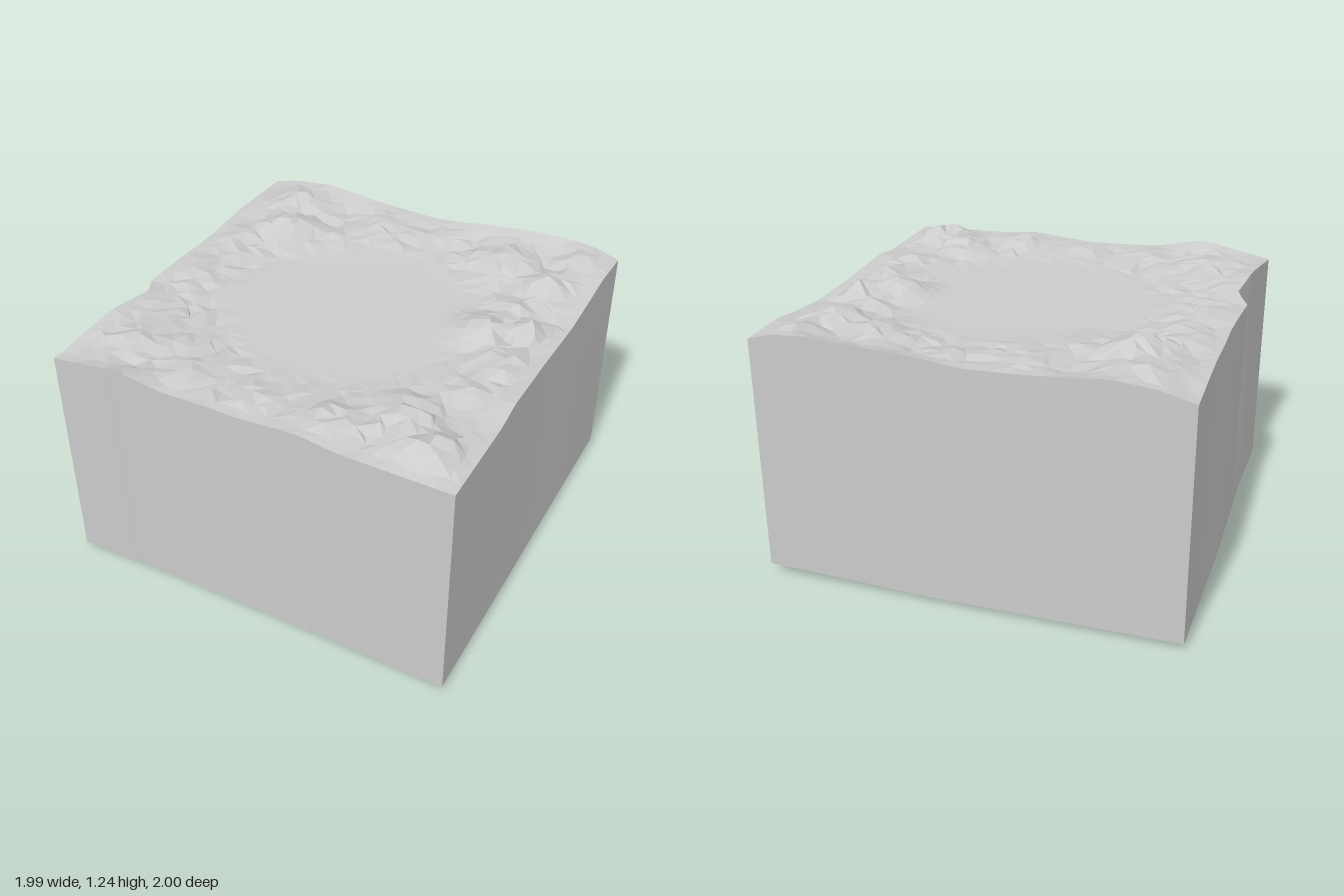
import * as THREE from 'three';

const N = 34; // cells along each side of the ground

// Piecewise-linear profile through [position, value] pairs
function profile(points, t) {
  for (let i = 1; i < points.length; i++) {
    const [a, va] = points[i - 1], [b, vb] = points[i];
    if (t <= b) return va + (vb - va) * Math.max(0, (t - a) / (b - a));
  }
  return points[points.length - 1][1];
}

// Each side: heights of the rim, heights of the lower edge, outline of the rim
const sides = {
  front: {
    top: [[-1, 1.155], [-0.63, 1.22], [-0.39, 1.17], [0, 1.16], [0.3, 1.185], [0.5, 1.165], [1, 1.155]],
    base: [[-1, 0.02], [-0.46, 0.04], [0.3, 0.035], [1, 0.02]],
    out: [[-1, 0.98], [-0.62, 1], [-0.2, 0.97], [0.2, 0.97], [0.4, 0.985], [1, 0.98]],
  },
  back: {
    top: [[-1, 1.16], [-0.85, 1.2], [-0.64, 1.22], [-0.3, 1.19], [0, 1.18], [0.3, 1.215], [0.5, 1.23], [0.75, 1.24], [0.88, 1.23], [1, 1.195]],
    base: [[-1, 0.03], [0.15, 0.025], [1, 0.05]],
    out: [[-1, -0.985], [0.15, -0.975], [0.6, -1], [1, -0.985]],
  },
  left: {
    top: [[-1, 1.16], [-0.6, 1.175], [-0.3, 1.16], [0, 1.165], [0.24, 1.155], [0.36, 1.18], [0.6, 1.2], [1, 1.155]],
    base: [[-1, 0.03], [-0.15, 0], [0.45, 0.05], [1, 0.02]],
    out: [[-1, -1], [-0.15, -0.985], [0.24, -1], [0.34, -0.935], [0.55, -0.96], [1, -0.995]],
  },
  right: {
    top: [[-1, 1.195], [-0.75, 1.2], [-0.6, 1.18], [-0.35, 1.155], [0, 1.165], [0.37, 1.18], [0.5, 1.155], [1, 1.155]],
    base: [[-1, 0.05], [0.45, 0.03], [1, 0.025]],
    out: [[-1, 0.99], [0, 0.975], [1, 0.98]],
  },
};

// Rocky mounds around the basin: x, z, radius, peak height
const mounds = [
  [-0.66, -0.52, 0.13, 1.24], [-0.74, -0.8, 0.18, 1.225], [-0.85, -0.3, 0.15, 1.19], [-0.85, 0.05, 0.14, 1.18],
  [-0.4, -0.55, 0.13, 1.18], [-0.2, -0.8, 0.2, 1.19], [0.12, -0.85, 0.18, 1.18],
  [0.5, -0.75, 0.16, 1.235], [0.75, -0.6, 0.14, 1.23], [0.85, -0.86, 0.14, 1.245],
  [0.68, -0.38, 0.08, 1.205], [0.63, -0.12, 0.1, 1.235], [0.82, -0.18, 0.1, 1.235], [0.82, 0.08, 0.12, 1.205],
  [0.78, 0.35, 0.14, 1.185], [0.6, 0.65, 0.13, 1.22], [0.8, 0.82, 0.15, 1.235], [0.33, 0.82, 0.14, 1.205],
  [0, 0.82, 0.14, 1.18], [-0.4, 0.83, 0.14, 1.19], [-0.72, 0.72, 0.18, 1.2], [-0.85, 0.45, 0.12, 1.18],
];

// Seeded value in -1..1
function rand(i, j, k) {
  const s = Math.sin(i * 127.1 + j * 311.7 + k * 74.7) * 43758.5453;
  return 2 * (s - Math.floor(s)) - 1;
}

// Point of the ground at grid corner i, j
function groundPoint(i, j) {
  const inner = i > 0 && i < N && j > 0 && j < N;
  const jitter = inner ? 0.7 / N : 0;
  const u = (2 * i) / N - 1 + jitter * rand(i, j, 1);
  const v = (2 * j) / N - 1 + jitter * rand(i, j, 2);
  const x = THREE.MathUtils.lerp(profile(sides.left.out, v), profile(sides.right.out, v), (u + 1) / 2);
  const z = THREE.MathUtils.lerp(profile(sides.back.out, u), profile(sides.front.out, u), (v + 1) / 2);

  let y = 1.15;
  for (const [mx, mz, r, h] of mounds) {
    const d = ((x - mx) ** 2 + (z - mz) ** 2) / (r * r);
    y = Math.max(y, 1.15 + (h - 1.15) * Math.exp(-d * 0.7));
  }
  const rough = THREE.MathUtils.smoothstep(Math.hypot(u, v), 0.5, 0.8);
  y = Math.min(1.245, y + 0.012 * rough * rand(i, j, 3));

  // Blend into the nearby rims
  const rims = [['left', 1 + u, v], ['right', 1 - u, v], ['back', 1 + v, u], ['front', 1 - v, u]];
  for (const [name, distance, t] of rims) {
    const weight = 1 - THREE.MathUtils.smoothstep(distance, 0, 0.16);
    y = THREE.MathUtils.lerp(y, profile(sides[name].top, t), weight);
  }
  return [x, y, z];
}

function meshFrom(name, positions, index) {
  const geometry = new THREE.BufferGeometry();
  geometry.setAttribute('position', new THREE.Float32BufferAttribute(positions, 3));
  geometry.setIndex(index);
  geometry.computeVertexNormals();
  const mesh = new THREE.Mesh(geometry, new THREE.MeshStandardMaterial({
    color: 0xcccccc, flatShading: true, side: THREE.DoubleSide,
  }));
  mesh.name = name;
  return mesh;
}

// Faceted ground with a shallow basin
function buildGround() {
  const positions = [], index = [];
  for (let j = 0; j <= N; j++) for (let i = 0; i <= N; i++) positions.push(...groundPoint(i, j));
  for (let j = 0; j < N; j++) {
    for (let i = 0; i < N; i++) {
      const a = j * (N + 1) + i, b = a + 1, c = a + N + 1, d = c + 1;
      if (rand(i, j, 4) > 0) index.push(a, c, b, b, c, d);
      else index.push(a, c, d, a, d, b);
    }
  }
  return meshFrom('ground', positions, index);
}

// Cut earth wall from the rim down to the lower edge; corner(k) walks the rim
function buildWall(name, corner, reversed) {
  const positions = [], index = [];
  const alongX = name === 'front' || name === 'back';
  for (let k = 0; k <= N; k++) {
    const t = (2 * k) / N - 1;
    const top = groundPoint(...corner(k));
    const base = profile(sides[name].base, t);
    const ends = sides[name].out;
    const flat = THREE.MathUtils.lerp(ends[0][1], ends[ends.length - 1][1], k / N);
    positions.push(...top);
    positions.push(alongX ? top[0] : flat, base, alongX ? flat : top[2]);
  }
  for (let k = 0; k < N; k++) {
    const a = 2 * k, b = a + 1, c = a + 2, d = a + 3;
    if (reversed) index.push(a, c, b, b, c, d);
    else index.push(a, b, c, b, d, c);
  }
  return meshFrom(name + 'Wall', positions, index);
}

export function createModel() {
  const group = new THREE.Group();
  group.name = 'groundBlock';
  group.add(
    buildGround(),
    buildWall('front', (k) => [k, N], false),
    buildWall('back', (k) => [k, 0], true),
    buildWall('left', (k) => [0, k], false),
    buildWall('right', (k) => [N, k], true),
  );
  return group;
}
